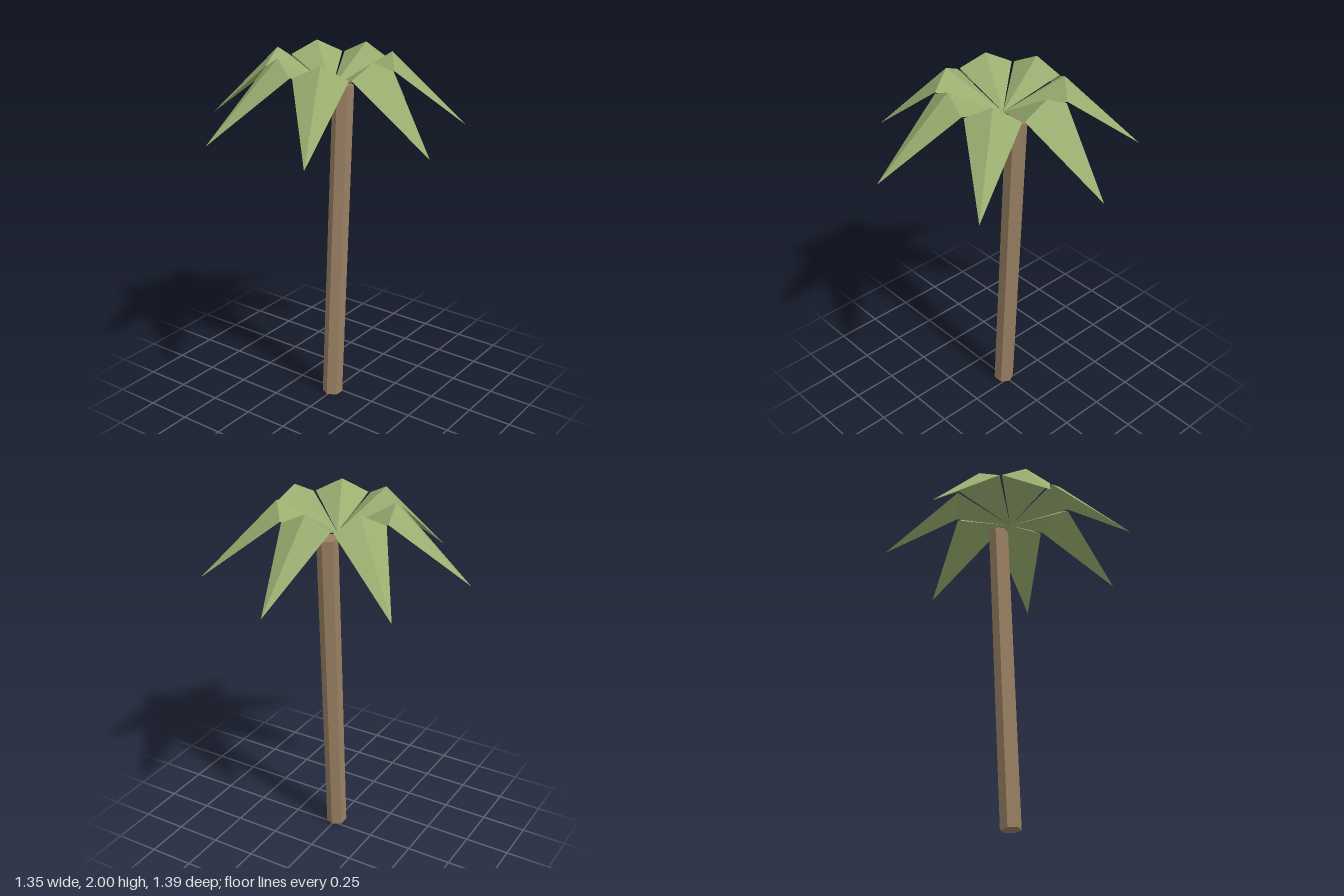
import * as THREE from 'three';

const LEAVES = 7;
const CROWN_X = -0.037;

// One folded frond pointing along +x: a raised ridge, two drooping shoulders and a tip
function frondGeometry() {
  const base = [0, 1.81, 0], ridge = [0.308, 2, 0], tip = [0.712, 1.6, 0];
  const left = [0.308, 1.93, 0.141], right = [0.308, 1.93, -0.141];
  const faces = [
    base, left, ridge,
    base, ridge, right,
    left, tip, ridge,
    right, ridge, tip,
  ];
  const geometry = new THREE.BufferGeometry();
  geometry.setAttribute('position', new THREE.Float32BufferAttribute(faces.flat(), 3));
  geometry.computeVertexNormals();
  return geometry;
}

export function createModel() {
  const model = new THREE.Group();
  model.name = 'palmTree';

  const bark = new THREE.MeshStandardMaterial({ color: 0x9a8064, flatShading: true });
  bark.name = 'bark brown';
  const green = new THREE.MeshStandardMaterial({ color: 0x9aae70, flatShading: true, side: THREE.DoubleSide });
  green.name = 'frond green';

  // Leaning six-sided trunk, with corners facing left and right
  const bottom = new THREE.Vector3(-0.037, 0.004, 0);
  const top = new THREE.Vector3(0.064, 1.81, 0);
  const axis = top.clone().sub(bottom);
  const trunkGeometry = new THREE.CylinderGeometry(0.057, 0.057, axis.length(), 6);
  trunkGeometry.rotateY(Math.PI / 2);
  const trunk = new THREE.Mesh(trunkGeometry, bark);
  trunk.name = 'trunk';
  trunk.position.copy(bottom).lerp(top, 0.5);
  trunk.rotation.z = -Math.atan2(axis.x, axis.y);
  model.add(trunk);

  // Ring of fronds
  const crown = new THREE.Group();
  crown.name = 'crown';
  crown.position.x = CROWN_X;
  const geometry = frondGeometry();
  for (let i = 0; i < LEAVES; i++) {
    const frond = new THREE.Mesh(geometry, green);
    frond.name = `frond${i + 1}`;
    frond.rotation.y = (i / LEAVES) * Math.PI * 2;
    crown.add(frond);
  }
  model.add(crown);
  return model;
}
